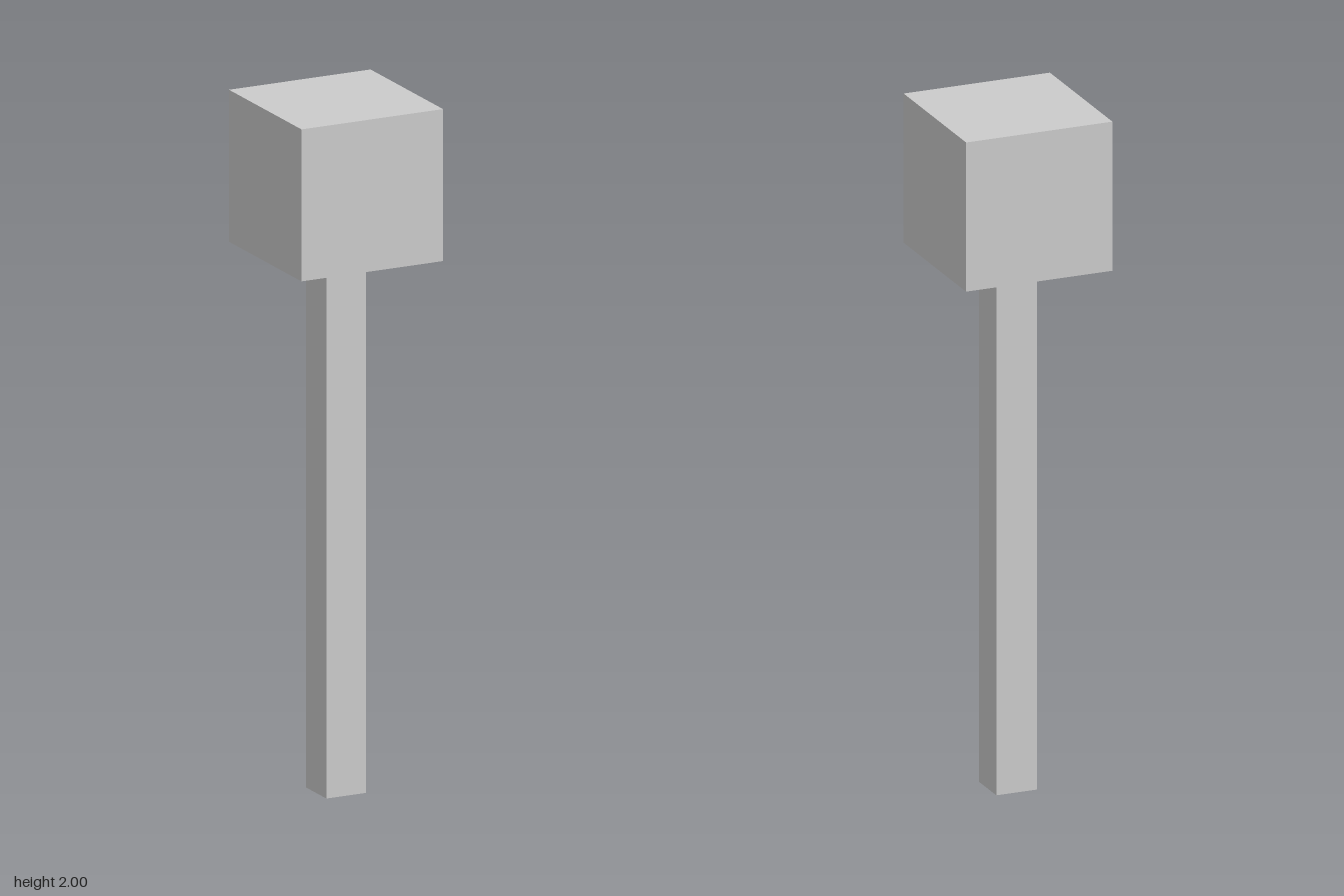
import * as THREE from 'three';

const HEAD_WIDTH = 0.442;
const HEAD_BOTTOM = 1.56;
const TOP = 2;
const POST_WIDTH = 0.123;

export function createModel() {
  const model = new THREE.Group();
  model.name = 'squarePostWithBlockHead';

  const solid = new THREE.MeshStandardMaterial({ color: 0xcccccc, flatShading: true });
  const thin = new THREE.MeshStandardMaterial({
    color: 0xcccccc, flatShading: true, side: THREE.DoubleSide,
  });

  // Block head on top
  const headHeight = TOP - HEAD_BOTTOM;
  const head = new THREE.Mesh(new THREE.BoxGeometry(HEAD_WIDTH, headHeight, HEAD_WIDTH), solid);
  head.name = 'head';
  head.position.y = HEAD_BOTTOM + headHeight / 2;
  model.add(head);

  // Square post: a four-sided tube, hollow and open at the foot
  const radius = POST_WIDTH / Math.SQRT2;
  const postGeometry = new THREE.CylinderGeometry(radius, radius, HEAD_BOTTOM, 4, 1, true);
  postGeometry.rotateY(Math.PI / 4);
  const post = new THREE.Mesh(postGeometry, thin);
  post.name = 'post';
  post.position.y = HEAD_BOTTOM / 2;
  model.add(post);

  return model;
}
